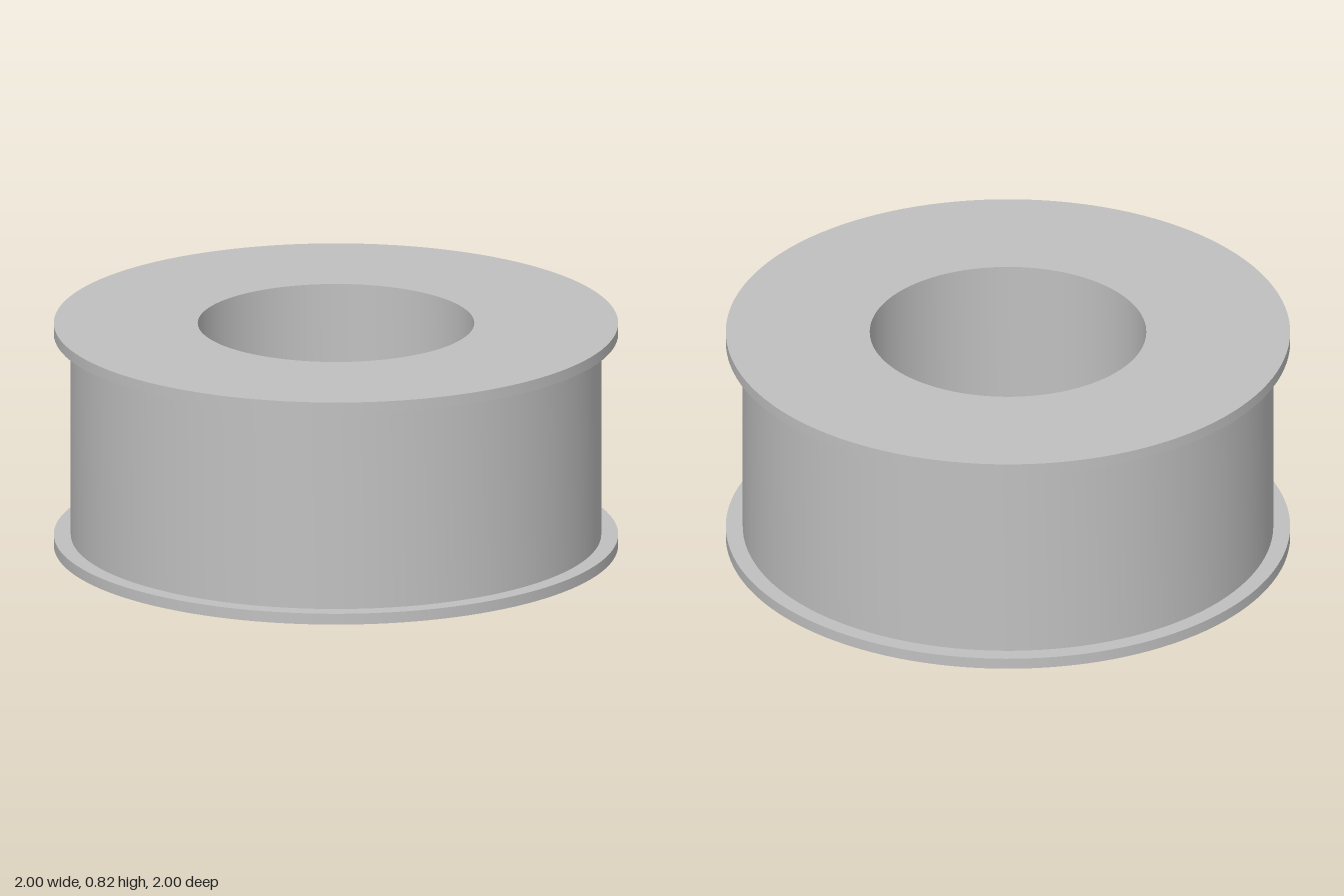
import * as THREE from 'three';
import { toCreasedNormals } from 'three/addons/utils/BufferGeometryUtils.js';

const HEIGHT = 0.82, RIM = 0.04;
const BORE_R = 0.49, BODY_R = 0.94, FLANGE_R = 1;

export function createModel() {
  const group = new THREE.Group();
  group.name = 'flangedRing';
  const metal = new THREE.MeshStandardMaterial({ color: 0xc0c0c0 });
  metal.name = 'light grey metal';

  // Revolve an open profile, keeping its corners sharp
  const revolve = (name, profile) => {
    const points = profile.map(([r, y]) => new THREE.Vector2(r, y));
    const geometry = toCreasedNormals(new THREE.LatheGeometry(points, 128), Math.PI / 6);
    const mesh = new THREE.Mesh(geometry, metal);
    mesh.name = name;
    group.add(mesh);
  };

  // Thin flanges at both ends
  revolve('bottomFlange', [[BORE_R, 0], [FLANGE_R, 0], [FLANGE_R, RIM], [BODY_R, RIM]]);
  revolve('topFlange', [[BODY_R, HEIGHT - RIM], [FLANGE_R, HEIGHT - RIM], [FLANGE_R, HEIGHT], [BORE_R, HEIGHT]]);

  // Outer wall between the flanges, and the through hole
  revolve('outerWall', [[BODY_R, RIM], [BODY_R, HEIGHT - RIM]]);
  revolve('bore', [[BORE_R, HEIGHT], [BORE_R, 0]]);

  return group;
}
